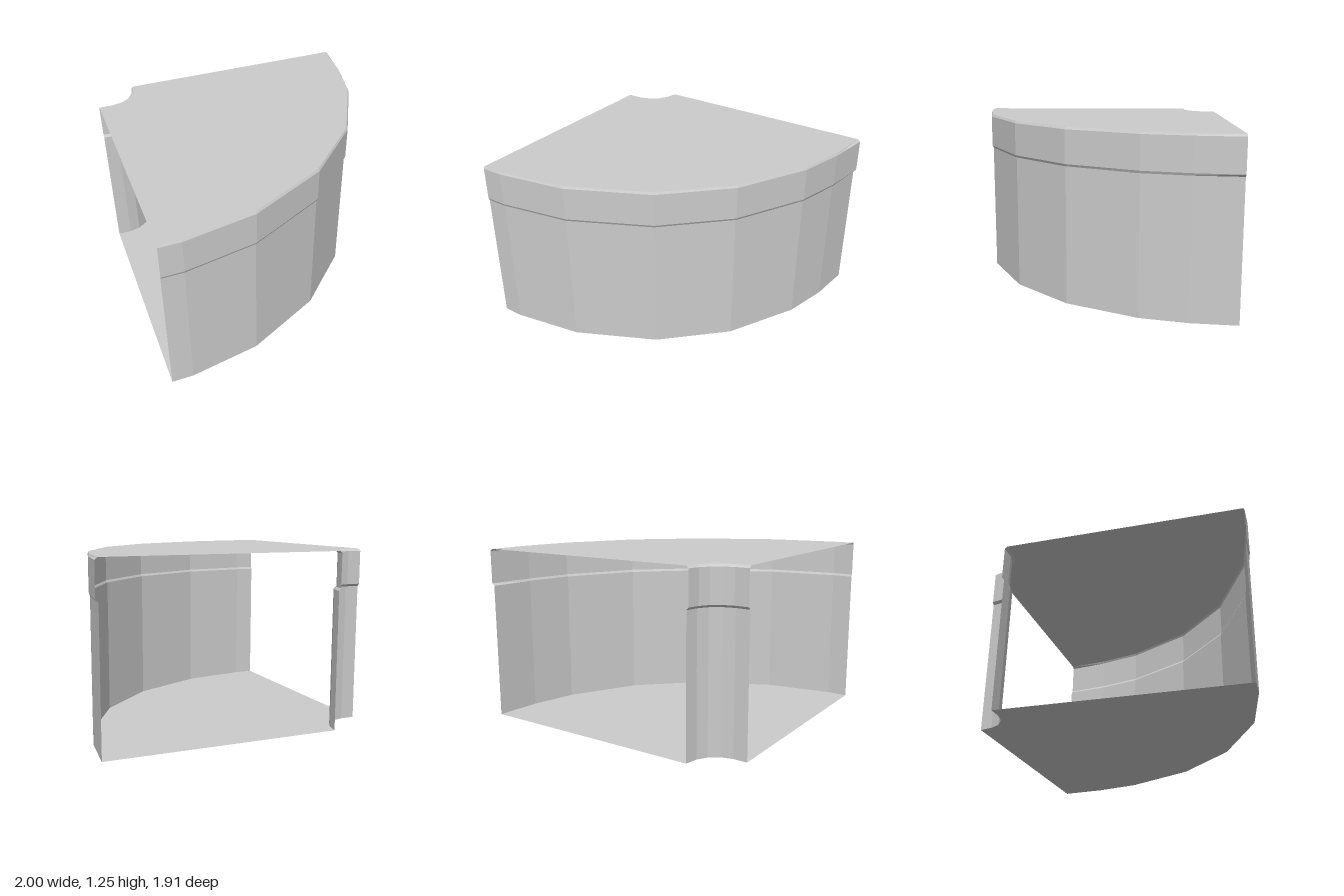
import * as THREE from 'three';

const material = new THREE.MeshStandardMaterial({ color: 0xcccccc, flatShading: true, side: THREE.DoubleSide });

// Plan outlines as [x, z]: body line and the slightly larger rim line
const outerBody = [[-1, 0.945], [-0.85, 0.945], [-0.35, 0.858], [0.197, 0.59], [0.602, 0.198], [0.865, -0.3], [0.947, -0.63], [0.98, -0.953]];
const outerRim = [[-1, 0.953], [-0.848, 0.953], [-0.346, 0.866], [0.203, 0.597], [0.61, 0.203], [0.873, -0.298], [0.955, -0.628], [1, -0.953]];
const innerBody = [[-0.69, -0.953], [-0.71, -0.865], [-0.75, -0.795], [-0.82, -0.745], [-0.9, -0.725], [-1, -0.725]];
const innerRim = [[-0.705, -0.953], [-0.725, -0.87], [-0.765, -0.807], [-0.83, -0.763], [-0.9, -0.742], [-1, -0.742]];

// Faceted strip between a lower and an upper outline
function strip(low, yLow, high, yHigh) {
  const pos = [];
  for (let i = 0; i < low.length - 1; i++) {
    const a = [low[i][0], yLow, low[i][1]];
    const b = [low[i + 1][0], yLow, low[i + 1][1]];
    const c = [high[i + 1][0], yHigh, high[i + 1][1]];
    const d = [high[i][0], yHigh, high[i][1]];
    pos.push(...a, ...b, ...c, ...a, ...c, ...d);
  }
  const g = new THREE.BufferGeometry();
  g.setAttribute('position', new THREE.Float32BufferAttribute(pos, 3));
  g.computeVertexNormals();
  return g;
}

// Flat slab face bounded by the outer and inner outlines
function plate(y) {
  const points = [...outerBody, ...innerBody].map(([x, z]) => new THREE.Vector2(x, -z));
  return new THREE.ShapeGeometry(new THREE.Shape(points)).rotateX(-Math.PI / 2).translate(0, y, 0);
}

export function createModel() {
  const model = new THREE.Group();
  model.name = 'quarterCounter';
  const add = (parent, name, geometry) => {
    const mesh = new THREE.Mesh(geometry, material);
    mesh.name = name;
    parent.add(mesh);
  };

  add(model, 'floor', plate(0));
  add(model, 'top', plate(1.246));

  // Curved front and concave back corner share one profile; the cut ends stay open
  for (const [name, body, rim] of [['outerWall', outerBody, outerRim], ['innerWall', innerBody, innerRim]]) {
    const wall = new THREE.Group();
    wall.name = name;
    add(wall, 'body', strip(body, 0, body, 0.978));
    add(wall, 'rimUnderside', strip(body, 0.978, rim, 0.995));
    add(wall, 'rim', strip(rim, 0.995, rim, 1.23));
    add(wall, 'rimBevel', strip(rim, 1.23, body, 1.246));
    model.add(wall);
  }
  return model;
}
